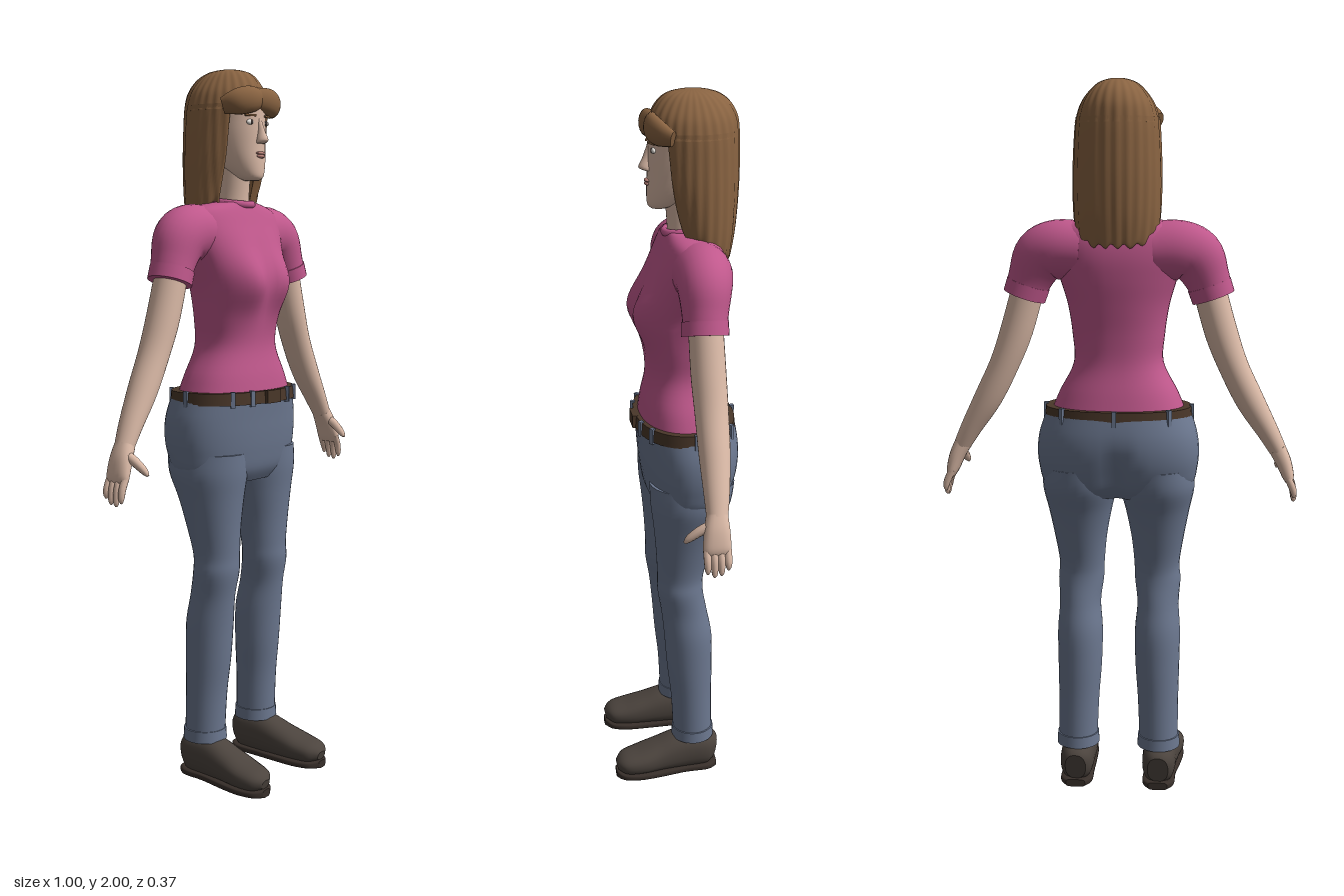
import * as THREE from 'three';

const mat = (name, color) => Object.assign(new THREE.MeshStandardMaterial({ color }), { name });
const M = {
  skin: mat('skin', 0xdcbba8), hair: mat('brown hair', 0x8a6442), shirt: mat('pink shirt', 0xc0588c),
  jeans: mat('blue denim', 0x6c7890), shoe: mat('dark brown shoe', 0x4c443e), belt: mat('brown belt', 0x4a3729),
  sole: mat('sole', 0x382f2a), white: mat('eye white', 0xe8e4de), iris: mat('iris', 0x3a3230), lips: mat('lips', 0xb9837a),
};
const UP = new THREE.Vector3(0, 1, 0), FRONT = new THREE.Vector3(0, 0, 1);

// Unit cross-section with rounded corners; smaller p is boxier
const sq = (c, p) => Math.sign(c) * Math.abs(c) ** p;
const oval = (p = 1) => (t) => [sq(Math.cos(t * 2 * Math.PI), p), sq(Math.sin(t * 2 * Math.PI), p)];

// C-shaped section open at the front, for the long hair
const openRing = (t) => {
  const gap = 0.8, outer = t < 0.5, k = outer ? t * 2 : 2 - t * 2;
  const a = Math.PI / 2 + gap + Math.min(k / 0.985, 1) * (2 * Math.PI - 2 * gap), r = outer ? 1 : 0.8;
  return [r * Math.cos(a), r * Math.sin(a)];
};

// Catmull-Rom smoothing of rows of numbers
function smooth(rows, steps) {
  const out = [], at = (i) => rows[Math.max(0, Math.min(rows.length - 1, i))];
  for (let i = 0; i < rows.length - 1; i++)
    for (let k = 0; k < steps; k++) {
      const t = k / steps;
      out.push(at(i).map((b, c) => {
        const a = at(i - 1)[c], d = at(i + 1)[c], e = at(i + 2)[c];
        return b + 0.5 * t * (d - a + t * (2 * a - 5 * b + 4 * d - e + t * (3 * (b - d) + e - a)));
      }));
    }
  out.push(rows[rows.length - 1]);
  return out;
}

// Skin over sections [x, y, z, half width, half depth] along a path
function loft(name, material, sections, { flat = false, ref = FRONT, n = 28, steps = 5, shape = oval(), deform } = {}) {
  const rows = smooth(sections, steps), pos = [], idx = [], last = rows.length - 1;
  const centre = rows.map((r) => new THREE.Vector3(r[0], r[1], r[2]));
  rows.forEach((r, i) => {
    const d = flat ? UP.clone() : centre[Math.min(i + 1, last)].clone().sub(centre[Math.max(i - 1, 0)]).normalize();
    const u = d.clone().cross(ref).normalize(), v = u.clone().cross(d);
    for (let j = 0; j < n; j++) {
      const [a, b] = shape(j / n);
      const p = centre[i].clone().addScaledVector(u, a * r[3]).addScaledVector(v, b * r[4]);
      if (deform) deform(p);
      pos.push(p.x, p.y, p.z);
    }
  });
  for (let i = 0; i < last; i++)
    for (let j = 0; j < n; j++) {
      const a = i * n + j, b = i * n + (j + 1) % n;
      idx.push(a, a + n, b, b, a + n, b + n);
    }
  // End caps
  if (shape !== openRing) for (const i of [0, last]) {
    const s = pos.length / 3, c = new THREE.Vector3();
    for (let j = 0; j < n; j++) {
      const q = pos.slice((i * n + j) * 3, (i * n + j) * 3 + 3);
      pos.push(...q);
      c.add(new THREE.Vector3(...q).divideScalar(n));
    }
    pos.push(c.x, c.y, c.z);
    for (let j = 0; j < n; j++) {
      const a = s + j, b = s + (j + 1) % n;
      idx.push(s + n, ...(i ? [b, a] : [a, b]));
    }
  }
  const g = new THREE.BufferGeometry();
  g.setAttribute('position', new THREE.Float32BufferAttribute(pos, 3));
  g.setIndex(idx);
  g.computeVertexNormals();
  return Object.assign(new THREE.Mesh(g, material), { name });
}

// Level sections given as [y, front z, back z, half width]
const level = (rows) => rows.map(([y, f, b, w]) => [0, y, (f + b) / 2, w, (f - b) / 2]);
const mirror = (rows, s) => rows.map(([x, ...r]) => [x * s, ...r]);
const bump = (d, w) => Math.exp(-((d / w) ** 2));

function place(name, geometry, material, [x, y, z], [sx, sy, sz] = [1, 1, 1]) {
  const m = Object.assign(new THREE.Mesh(geometry, material), { name });
  m.position.set(x, y, z);
  m.scale.set(sx, sy, sz);
  return m;
}

export function createModel() {
  const model = new THREE.Group();
  const add = (...parts) => model.add(...parts);
  const ball = new THREE.SphereGeometry(1, 16, 12), box = new THREE.BoxGeometry(1, 1, 1);

  // Shirt body with bust and collar
  add(loft('shirt', M.shirt, level([
    [1.1, 0.088, -0.163, 0.19], [1.16, 0.08, -0.15, 0.165], [1.24, 0.066, -0.132, 0.125], [1.32, 0.07, -0.132, 0.128],
    [1.4, 0.075, -0.14, 0.14], [1.47, 0.07, -0.148, 0.16], [1.53, 0.055, -0.15, 0.178], [1.58, 0.035, -0.142, 0.185],
    [1.615, 0.02, -0.125, 0.165], [1.635, 0.01, -0.1, 0.1], [1.64, 0.005, -0.09, 0.055]]), {
    flat: true, n: 48, shape: oval(0.88),
    deform: (p) => { if (p.z > 0) p.z += 0.04 * bump(Math.abs(p.x) - 0.065, 0.06) * bump(p.y - 1.42, 0.075); },
  }));
  const collar = place('collar', new THREE.TorusGeometry(0.052, 0.011, 10, 32), M.shirt, [0, 1.638, -0.04]);
  collar.rotation.x = Math.PI / 2 + 0.12;
  add(collar);

  // Jeans hips, belt and buckle
  add(loft('jeansHips', M.jeans, level([
    [0.865, 0.05, -0.12, 0.16], [0.9, 0.07, -0.155, 0.208], [0.95, 0.08, -0.177, 0.222], [1.0, 0.086, -0.187, 0.226],
    [1.05, 0.09, -0.187, 0.22], [1.105, 0.095, -0.178, 0.202]]), {
    flat: true, n: 48, shape: oval(0.88),
    deform: (p) => { if (p.z < -0.05) p.z += 0.035 * bump(p.x, 0.03) * bump(p.y - 0.91, 0.09); },
  }));
  add(loft('belt', M.belt, level([[1.088, 0.101, -0.18, 0.206], [1.122, 0.098, -0.177, 0.203]]),
    { flat: true, n: 48, shape: oval(0.88) }));
  add(place('buckle', box, M.belt, [0, 1.105, 0.1], [0.06, 0.036, 0.016]));
  for (const a of [0.28, 0.39, 0.61, 0.72, 1.0, 1.26, 1.5, 1.74, 2.0]) {
    const [u, v] = oval(0.88)(a / 2);
    const strap = place('beltLoop', box, M.jeans, [u * 0.204, 1.104, -0.04 + v * 0.139], [0.012, 0.044, 0.012]);
    strap.rotation.y = Math.atan2(u, v);
    add(strap);
  }

  // Neck and head
  add(loft('neck', M.skin, [[0, 1.6, -0.045, 0.05, 0.05], [0, 1.66, -0.04, 0.044, 0.046], [0, 1.76, -0.035, 0.045, 0.05]]));
  add(loft('head', M.skin, level([
    [1.697, 0.048, 0.005, 0.018], [1.708, 0.058, -0.02, 0.036], [1.74, 0.06, -0.07, 0.056], [1.79, 0.058, -0.11, 0.071],
    [1.85, 0.057, -0.135, 0.079], [1.92, 0.05, -0.14, 0.08], [1.97, 0.0, -0.12, 0.05]]), { flat: true, n: 36 }));
  add(loft('nose', M.skin, [[0, 1.796, 0.055, 0.016, 0.012], [0, 1.805, 0.06, 0.016, 0.021],
    [0, 1.83, 0.055, 0.01, 0.015], [0, 1.862, 0.05, 0.008, 0.008]], { flat: true, n: 16 }));
  add(place('upperLip', ball, M.lips, [0, 1.77, 0.057], [0.019, 0.005, 0.009]));
  add(place('lowerLip', ball, M.lips, [0, 1.762, 0.057], [0.016, 0.006, 0.009]));

  // Long hair, crown
  const strands = (p) => {
    const a = Math.atan2(p.x, p.z + 0.06), k = 1 + 0.014 * Math.sin(a * 26);
    p.x *= k;
    p.z = (p.z + 0.06) * k - 0.06;
  };
  add(loft('longHair', M.hair, level([
    [1.565, 0.0, -0.16, 0.108], [1.58, 0.005, -0.165, 0.114], [1.65, 0.02, -0.176, 0.118],
    [1.75, 0.04, -0.183, 0.119], [1.85, 0.05, -0.184, 0.115], [1.9, 0.055, -0.182, 0.111]]), {
    flat: true, n: 160, shape: openRing,
    deform: (p) => {
      const k = Math.max(0, (1.88 - p.y) / 0.31) ** 2;
      p.y += k * (0.075 * Math.min(1, Math.max(0, (p.z + 0.15) / 0.13)) + 0.006 * Math.sin(p.x * 190));
      strands(p);
    },
  }));
  add(loft('crown', M.hair, level([
    [1.885, 0.055, -0.183, 0.113], [1.93, 0.052, -0.178, 0.1], [1.965, 0.035, -0.16, 0.077],
    [1.988, 0.01, -0.13, 0.052], [1.998, -0.025, -0.095, 0.025], [2.0, -0.055, -0.065, 0.004]]),
  { flat: true, n: 156, deform: strands }));

  for (const s of [1, -1]) {
    const side = s > 0 ? 'left' : 'right';
    const limb = (name, material, rows, opt) => add(loft(side + name, material, mirror(rows, s), opt));

    // Fringe and face details
    limb('Fringe', M.hair, [[-0.005, 1.915, 0.042, 0.03, 0.02], [0.04, 1.911, 0.05, 0.036, 0.023],
      [0.08, 1.902, 0.036, 0.034, 0.023], [0.104, 1.892, 0.008, 0.022, 0.014]], { n: 18 });
    add(place(side + 'Eye', ball, M.white, [s * 0.033, 1.852, 0.047], [0.015, 0.0075, 0.006]));
    add(place(side + 'Iris', ball, M.iris, [s * 0.032, 1.852, 0.051], [0.006, 0.0065, 0.003]));
    const brow = place(side + 'Brow', box, M.hair, [s * 0.035, 1.87, 0.05], [0.034, 0.005, 0.008]);
    brow.rotation.y = s * 0.3;
    add(brow);

    // Sleeve and cuff
    limb('Sleeve', M.shirt, [[0.1, 1.548, -0.06, 0.08, 0.08], [0.165, 1.55, -0.06, 0.081, 0.077],
      [0.212, 1.53, -0.055, 0.077, 0.07], [0.242, 1.475, -0.05, 0.062, 0.06], [0.26, 1.425, -0.047, 0.055, 0.057]]);
    limb('SleeveCuff', M.shirt, [[0.248, 1.458, -0.048, 0.061, 0.061], [0.26, 1.423, -0.047, 0.06, 0.062]]);

    // Bare arm and hand
    limb('Arm', M.skin, [[0.245, 1.46, -0.05, 0.045, 0.045], [0.282, 1.33, -0.052, 0.045, 0.046],
      [0.318, 1.235, -0.054, 0.041, 0.044], [0.365, 1.14, -0.053, 0.039, 0.041], [0.415, 1.055, -0.049, 0.03, 0.034],
      [0.445, 1.0, -0.045, 0.024, 0.028]]);
    limb('Palm', M.skin, [[0.442, 1.006, -0.045, 0.024, 0.028], [0.46, 0.97, -0.042, 0.022, 0.034],
      [0.474, 0.93, -0.04, 0.017, 0.037], [0.478, 0.912, -0.04, 0.011, 0.034]], { n: 20, shape: oval(0.85) });
    for (let f = 0; f < 4; f++) {
      const z = -0.067 + f * 0.018, tip = 0.852 + [0.018, 0.004, 0, 0.01][f];
      limb('Finger', M.skin, [[0.472, 0.93, z, 0.01, 0.01], [0.486, 0.9, z, 0.01, 0.01],
        [0.491, tip + 0.012, z, 0.008, 0.008], [0.49, tip, z, 0.003, 0.003]], { n: 10, steps: 3 });
    }
    limb('Thumb', M.skin, [[0.455, 0.985, -0.03, 0.013, 0.013], [0.452, 0.968, 0.0, 0.013, 0.013],
      [0.447, 0.946, 0.028, 0.01, 0.01], [0.445, 0.934, 0.039, 0.004, 0.004]], { n: 10, steps: 3, ref: UP });

    // Trouser leg as [y, inner x, outer x, front z, back z]
    const leg = [[0.125, 0.062, 0.174, 0.008, -0.108], [0.25, 0.057, 0.174, 0.014, -0.106], [0.36, 0.049, 0.176, 0.026, -0.107],
      [0.46, 0.047, 0.177, 0.034, -0.105], [0.54, 0.053, 0.172, 0.042, -0.09], [0.61, 0.045, 0.176, 0.053, -0.078],
      [0.66, 0.043, 0.173, 0.053, -0.08], [0.74, 0.035, 0.185, 0.057, -0.1], [0.82, 0.02, 0.2, 0.064, -0.125],
      [0.89, 0.004, 0.214, 0.072, -0.155], [0.95, 0.004, 0.21, 0.074, -0.165]];
    limb('JeansLeg', M.jeans, leg.map(([y, i, o, f, b]) => [(i + o) / 2, y, (f + b) / 2, (o - i) / 2, (f - b) / 2]), { flat: true });
    limb('JeansHem', M.jeans, [[0.118, 0.115, -0.05, 0.062, 0.063], [0.118, 0.148, -0.05, 0.06, 0.061]], { flat: true });

    // Shoe and sole, heel to toe
    limb('Shoe', M.shoe, [[0.12, 0.06, -0.116, 0.03, 0.04], [0.12, 0.064, -0.09, 0.046, 0.056], [0.121, 0.066, -0.02, 0.05, 0.06],
      [0.125, 0.056, 0.05, 0.053, 0.047], [0.131, 0.047, 0.11, 0.055, 0.036], [0.134, 0.041, 0.16, 0.045, 0.028],
      [0.134, 0.036, 0.183, 0.018, 0.013]], { ref: UP, shape: oval(0.85) });
    limb('Sole', M.sole, [[0.12, 0.011, -0.12, 0.028, 0.011], [0.12, 0.011, -0.09, 0.046, 0.011], [0.121, 0.011, -0.02, 0.047, 0.011],
      [0.127, 0.011, 0.06, 0.053, 0.011], [0.131, 0.011, 0.12, 0.054, 0.011], [0.134, 0.011, 0.165, 0.042, 0.011],
      [0.134, 0.011, 0.186, 0.016, 0.011]], { ref: UP, shape: oval(0.5) });
  }
  return model;
}
